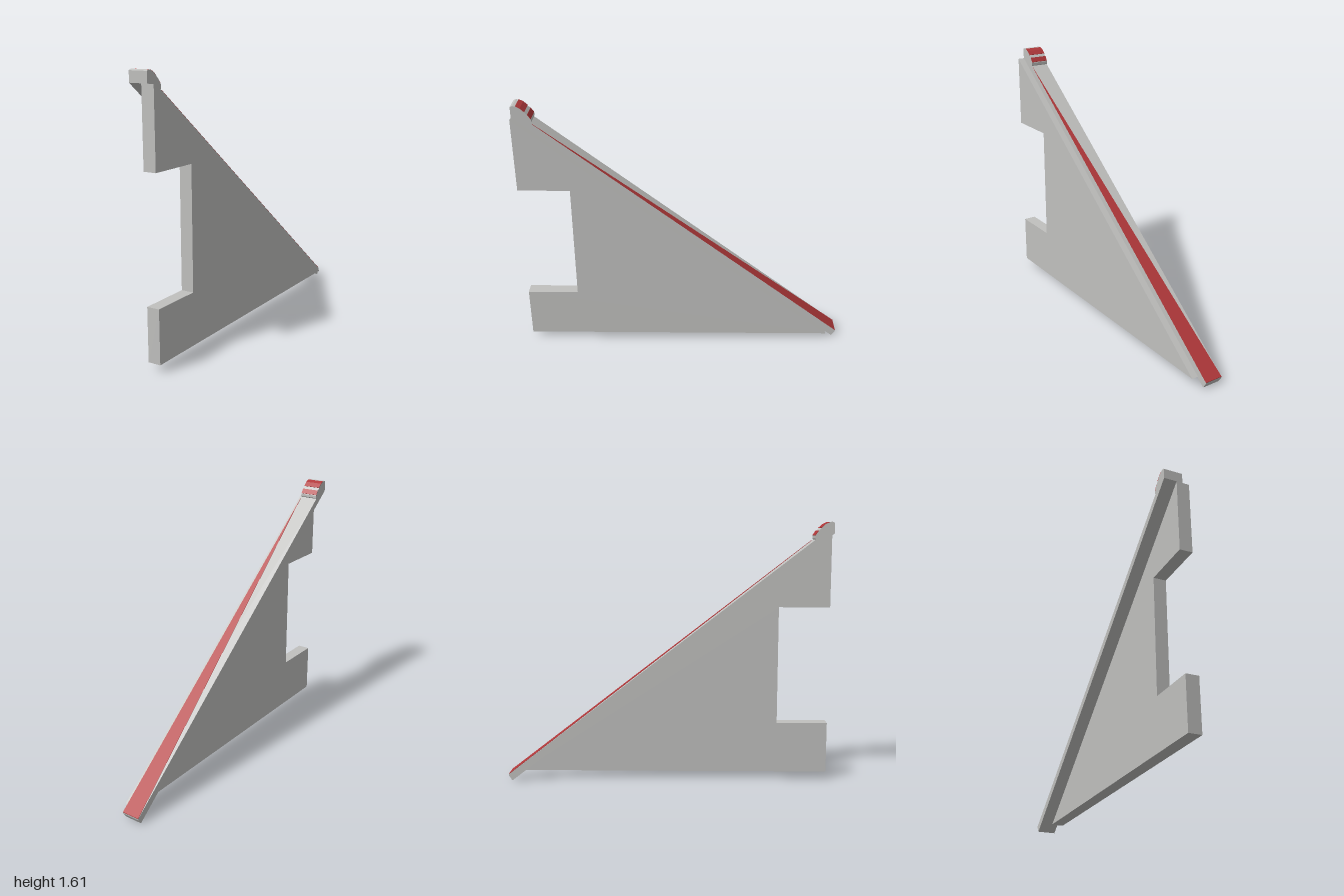
import * as THREE from 'three';

const grey = new THREE.MeshStandardMaterial({ color: 0xc0c0be });
grey.name = 'light grey';
const red = new THREE.MeshStandardMaterial({ color: 0xb0383a });
red.name = 'red';

const SLOPE = 0.775;
const railTop = (z) => 0.815 + SLOPE * z;

// Extrudes a side outline of [z, y] points from x0 to x1
function sidePart(name, points, x0, x1, material) {
  const shape = new THREE.Shape(points.map(([z, y]) => new THREE.Vector2(z, y)));
  const geo = new THREE.ExtrudeGeometry(shape, { depth: x1 - x0, bevelEnabled: false });
  geo.rotateY(-Math.PI / 2).translate(x1, 0, 0);
  const mesh = new THREE.Mesh(geo, material);
  mesh.name = name;
  return mesh;
}

// Thin band that follows a run of [z, y] points on the knob
function band(name, points) {
  const outer = points.map(([z, y]) => [z - 0.002, y + 0.002]).reverse();
  return sidePart(name, [...points, ...outer], -0.078, 0.035, red);
}

export function createModel() {
  const model = new THREE.Group();
  model.name = 'triangularFin';

  // Triangular web with a rectangular notch in its upright edge
  model.add(sidePart('finPlate', [
    [1, 0.045], [1, 0.36], [0.685, 0.36], [0.685, 1.09], [1, 1.09], [1, 1.54], [-0.93, 0.045],
  ], 0, 0.078, grey));

  // Sloping rail with a rounded knob at its upper end
  model.add(sidePart('rail', [
    [1, 1.54], [1, 1.603], [0.985, 1.61], [0.97, 1.607], [0.945, 1.595], [0.92, 1.572],
    [0.905, 1.556], [0.885, 1.526], [0.885, 1.51], [0.89, railTop(0.89)],
    [-1, railTop(-1)], [-0.98, 0], [-0.987, 0],
  ].slice(0, 11).concat([[-0.998, 0.03], [-0.978, 0]]), -0.078, 0.037, grey));

  // Long painted wedge, widest at the lower end
  const wedge = new THREE.Shape([
    new THREE.Vector2(-0.078, -1), new THREE.Vector2(0.036, -1), new THREE.Vector2(0.036, 0.88),
  ]);
  const thick = 0.003;
  const geo = new THREE.ExtrudeGeometry(wedge, { depth: thick, bevelEnabled: false });
  geo.rotateX(Math.PI / 2).translate(0, thick, 0);
  const pos = geo.attributes.position;
  for (let i = 0; i < pos.count; i++) pos.setY(i, pos.getY(i) + railTop(pos.getZ(i)));
  geo.computeVertexNormals();
  const stripe = new THREE.Mesh(geo, red);
  stripe.name = 'railStripe';
  model.add(stripe);

  // Two painted bands across the knob
  model.add(band('upperKnobBand', [[0.97, 1.607], [0.945, 1.595], [0.92, 1.572]]));
  model.add(band('lowerKnobBand', [[0.905, 1.556], [0.887, 1.529]]));

  return model;
}
